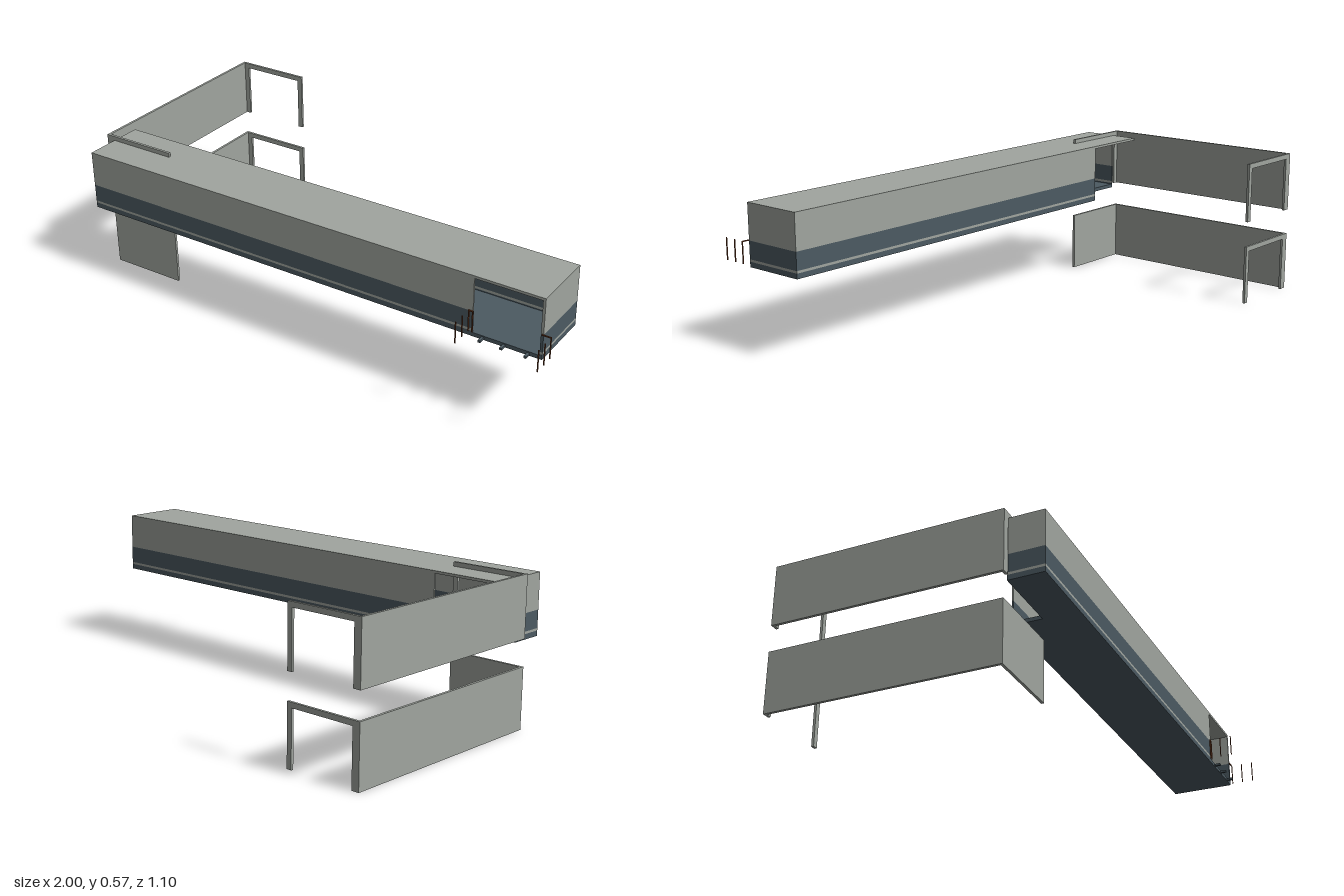
import * as THREE from 'three';

const mat = (name, color) => {
  const m = new THREE.MeshStandardMaterial({ color });
  m.name = name;
  return m;
};

export function createModel() {
  const grey = mat('concreteGrey', 0xa0a59f);
  const slate = mat('slateBlue', 0x4c5a62);
  const rust = mat('rustBrown', 0x6b3a20);
  const model = new THREE.Group();

  // Axis-aligned block given by its extents
  function block(parent, name, m, [x0, x1], [y0, y1], [z0, z1]) {
    const mesh = new THREE.Mesh(new THREE.BoxGeometry(x1 - x0, y1 - y0, z1 - z0), m);
    mesh.position.set((x0 + x1) / 2, (y0 + y1) / 2, (z0 + z1) / 2);
    mesh.name = name;
    parent.add(mesh);
  }
  function group(name) {
    const g = new THREE.Group();
    g.name = name;
    model.add(g);
    return g;
  }

  // Hollow gallery: floor with a notch at the rear entrance, flat roof
  const X0 = -0.965, X1 = 0.97, Z0 = 0.21, Z1 = 0.46, T = 0.006;
  const gallery = group('gallery');
  block(gallery, 'floor', slate, [-0.69, X1], [0.315, 0.33], [Z0, Z1]);
  block(gallery, 'floorAtEntrance', slate, [X0, -0.69], [0.315, 0.33], [0.325, Z1]);
  block(gallery, 'roof', grey, [X0, X1], [0.54, 0.55], [Z0, Z1]);

  // Walls are stacked in horizontal bands
  const bands = [
    ['sill', slate, [0.33, 0.335]],
    ['sillStrip', grey, [0.335, 0.344]],
    ['lowerBand', slate, [0.344, 0.412]],
    ['upperWall', grey, [0.412, 0.54]],
  ];
  function wall(name, xr, zr) {
    for (const [part, m, yr] of bands) block(gallery, name + part, m, xr, yr, zr);
  }
  wall('front', [X0, 0.71], [Z1 - T, Z1]);
  wall('frontJamb', [0.96, X1], [Z1 - T, Z1]);
  wall('back', [-0.69, X1], [Z0, Z0 + T]);
  wall('leftEnd', [X1 - T, X1], [Z0 + T, Z1 - T]);
  wall('rightEnd', [X0, X0 + T], [0.325, Z1 - T]);

  // Two stacked enclosures: long side wall with a doorway frame or panel at each end
  function doorFrame(g, y, z) {
    const zr = [z, z + 0.01];
    block(g, 'frameBeam', grey, [-0.99, -0.69], [y + 0.213, y + 0.233], zr);
    for (const x of [-0.99, -0.71]) block(g, 'framePost', grey, [x, x + 0.02], [y, y + 0.213], zr);
  }
  for (const [name, y] of [['lowerEnclosure', 0], ['upperEnclosure', 0.334]]) {
    const g = group(name);
    block(g, 'sideWall', grey, [-1, -0.99], [y, y + 0.233], [-0.55, 0.33]);
    doorFrame(g, y, -0.55);
    if (y > 0) doorFrame(g, y, 0.32);
    else block(g, 'endPanel', grey, [-0.99, -0.69], [0, 0.233], [0.32, 0.33]);
  }

  // Thin railing posts beside the front opening
  const railing = group('railing');
  for (const x of [0.695, 0.998]) {
    for (const z of [0.462, 0.505, 0.55]) {
      block(railing, 'railPost', rust, [x - 0.002, x + 0.002], [0.332, 0.415], [z - 0.0015, z + 0.0015]);
    }
  }
  block(railing, 'railPost', rust, [0.708, 0.712], [0.332, 0.415], [0.46, 0.464]);
  for (const xr of [[0.697, 0.712], [0.965, 0.996]]) {
    block(railing, 'topRail', rust, xr, [0.411, 0.415], [0.46, 0.464]);
  }

  // Small brackets under the front opening
  for (const x of [0.75, 0.83, 0.92]) {
    block(railing, 'bracket', slate, [x - 0.005, x + 0.005], [0.317, 0.325], [Z1, 0.485]);
  }
  return model;
}
